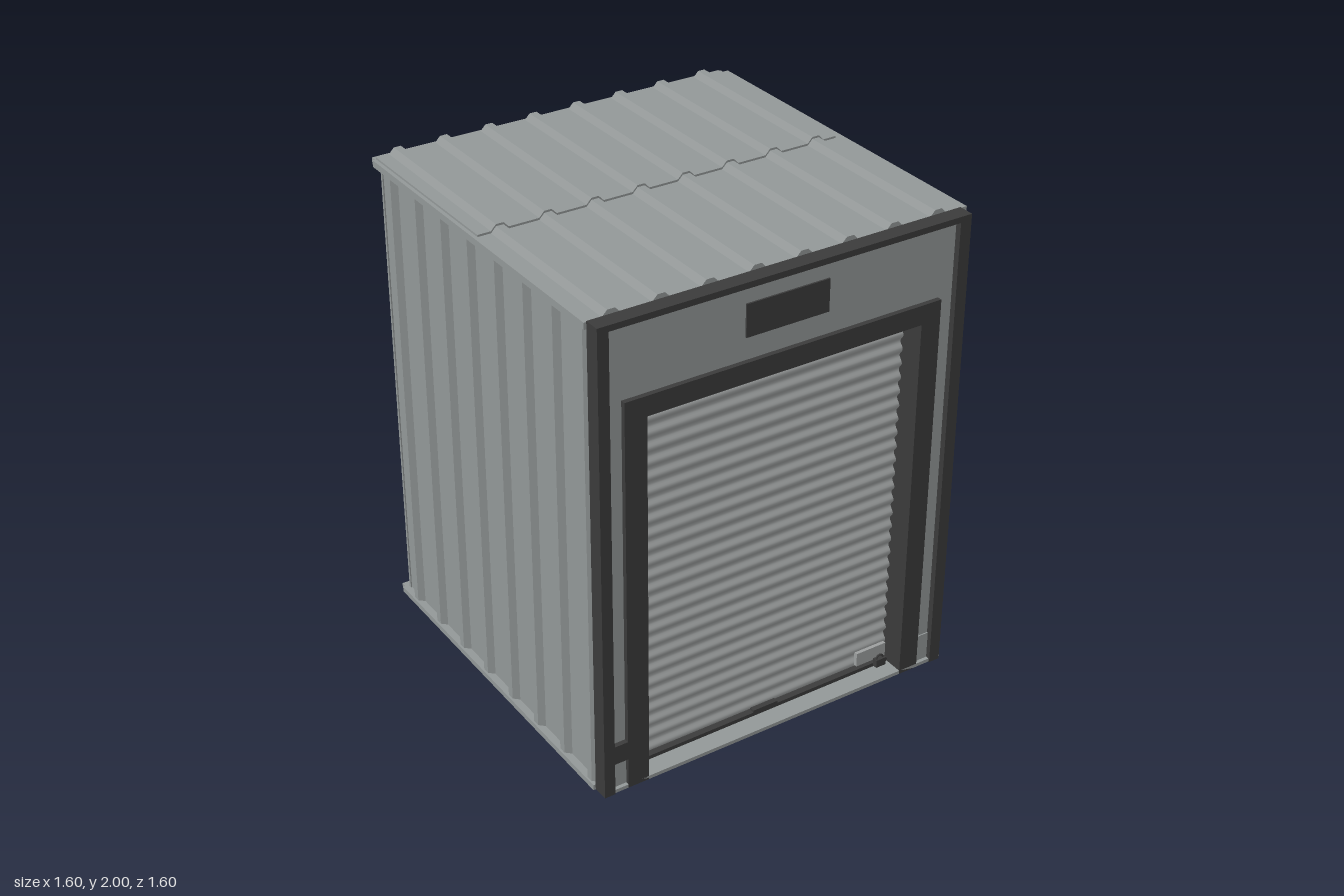
import * as THREE from 'three';

export function createModel() {
  const model = new THREE.Group();
  model.name = 'storageUnit';
  const mat = (name, color) => {
    const m = new THREE.MeshStandardMaterial({ color });
    m.name = name;
    return m;
  };
  const steel = mat('grey steel', 0x929797);
  const slat = mat('door steel', 0x9c9f9f);
  const dark = mat('charcoal trim', 0x3b3b3b);
  slat.side = THREE.DoubleSide;

  const add = (name, geo, material) => {
    const mesh = new THREE.Mesh(geo, material);
    mesh.name = name;
    model.add(mesh);
    return mesh;
  };
  // Box given by its minimum and maximum on each axis
  const box = (name, material, x0, x1, y0, y1, z0, z1) =>
    add(name, new THREE.BoxGeometry(x1 - x0, y1 - y0, z1 - z0), material)
      .position.set((x0 + x1) / 2, (y0 + y1) / 2, (z0 + z1) / 2);

  // Sheet with raised trapezoid ribs: u across, v outward, w along the ribs
  const ribs = Array.from({ length: 8 }, (_, i) => -0.695 + i * 0.195);
  const sheet = (name, u0, u1, centres, height, length, u, v, w, origin) => {
    const s = new THREE.Shape();
    s.moveTo(u0, -0.012);
    s.lineTo(u1, -0.012);
    s.lineTo(u1, 0);
    [...centres].sort((a, b) => b - a).forEach((c) => {
      s.lineTo(c + 0.036, 0);
      s.lineTo(c + 0.015, height);
      s.lineTo(c - 0.015, height);
      s.lineTo(c - 0.036, 0);
    });
    s.lineTo(u0, 0);
    const g = new THREE.ExtrudeGeometry(s, { depth: length, bevelEnabled: false });
    const m = new THREE.Matrix4().makeBasis(
      new THREE.Vector3(...u), new THREE.Vector3(...v), new THREE.Vector3(...w));
    m.setPosition(...origin);
    add(name, g.applyMatrix4(m), steel);
  };

  // Walls
  const flipped = ribs.map((c) => -c);
  const X = [1, 0, 0], Y = [0, 1, 0], Z = [0, 0, 1];
  sheet('leftWall', -0.775, 0.74, flipped, 0.022, 1.93, Z, X, Y, [0.765, 0.025, 0]);
  sheet('rightWall', -0.74, 0.775, ribs, 0.022, 1.93, [0, 0, -1], [-1, 0, 0], Y, [-0.77, 0.025, 0]);
  sheet('backWall', -0.775, 0.765, ribs, 0.022, 1.93, X, [0, 0, -1], Y, [0, 0.025, -0.765]);

  // Two overlapping roof sheets
  sheet('frontRoof', -0.785, 0.765, ribs, 0.022, 0.775, X, Y, Z, [0, 1.97, -0.04]);
  sheet('backRoof', -0.785, 0.765, ribs, 0.022, 0.775, X, Y, Z, [0, 1.978, -0.775]);

  // Floor, and the tracks along the foot and head of the walls
  box('floor', steel, -0.785, 0.775, 0.017, 0.032, -0.785, 0.795);
  for (const [name, y0, y1] of [['bottom', 0.015, 0.038], ['top', 1.943, 1.97]]) {
    box(name + 'TrackLeft', steel, 0.755, 0.8, y0, y1, -0.775, 0.735);
    box(name + 'TrackRight', steel, -0.8, -0.755, y0, y1, -0.775, 0.735);
    box(name + 'TrackBack', steel, -0.79, 0.77, y0, y1, -0.8, -0.755);
  }

  // Front wall around the doorway
  const front = new THREE.Shape([
    [-0.75, 0.02], [-0.64, 0.02], [-0.64, 1.62], [0.62, 1.62],
    [0.62, 0.02], [0.73, 0.02], [0.73, 1.955], [-0.75, 1.955],
  ].map((p) => new THREE.Vector2(...p)));
  const frontGeo = new THREE.ExtrudeGeometry(front, { depth: 0.03, bevelEnabled: false });
  add('frontWall', frontGeo, steel).position.z = 0.745;

  // Corner posts and top fascia
  box('rightPost', dark, -0.79, -0.745, 0.017, 1.955, 0.735, 0.8);
  box('leftPost', dark, 0.722, 0.77, 0.017, 1.955, 0.735, 0.8);
  box('fascia', dark, -0.79, 0.77, 1.95, 1.974, 0.735, 0.8);

  // Door frame
  box('rightJamb', dark, -0.685, -0.595, 0.017, 1.66, 0.68, 0.795);
  box('leftJamb', dark, 0.575, 0.66, 0.017, 1.66, 0.68, 0.795);
  box('doorHeader', dark, -0.595, 0.575, 1.58, 1.66, 0.68, 0.795);

  // Roller door with rounded slats
  const slats = 26, y0 = 0.05, y1 = 1.6;
  const door = new THREE.PlaneGeometry(1.19, y1 - y0, 1, slats * 10);
  const p = door.attributes.position;
  for (let i = 0; i < p.count; i++) {
    const t = ((p.getY(i) + (y1 - y0) / 2) / (y1 - y0)) * slats;
    p.setZ(i, 0.008 * Math.sin(t * Math.PI * 2));
  }
  door.computeVertexNormals();
  add('rollerDoor', door, slat).position.set(-0.01, (y0 + y1) / 2, 0.69);
  box('doorBottomBar', dark, -0.595, 0.575, 0.03, 0.048, 0.67, 0.715);
  box('doorHandle', dark, -0.072, 0.04, 0.052, 0.062, 0.695, 0.72);
  box('floorPin', steel, -0.02, -0.004, 0, 0.02, 0.68, 0.696);

  // Latch plate and padlock
  box('latchPlate', slat, 0.425, 0.565, 0.062, 0.122, 0.695, 0.712);
  box('padlock', dark, 0.507, 0.553, 0.036, 0.07, 0.713, 0.735);
  const shackle = add('padlockShackle', new THREE.TorusGeometry(0.015, 0.004, 6, 12, Math.PI), dark);
  shackle.position.set(0.53, 0.07, 0.724);

  // Sign plate, control box and kick plate
  box('signPlate', dark, -0.185, 0.165, 1.75, 1.88, 0.774, 0.782);
  box('controlBox', dark, -0.745, -0.685, 0.15, 0.23, 0.77, 0.795);
  box('kickPlateLeft', steel, 0.66, 0.722, 0.02, 0.15, 0.773, 0.78);
  box('kickPlateRight', steel, -0.745, -0.685, 0.02, 0.15, 0.773, 0.78);

  return model;
}
